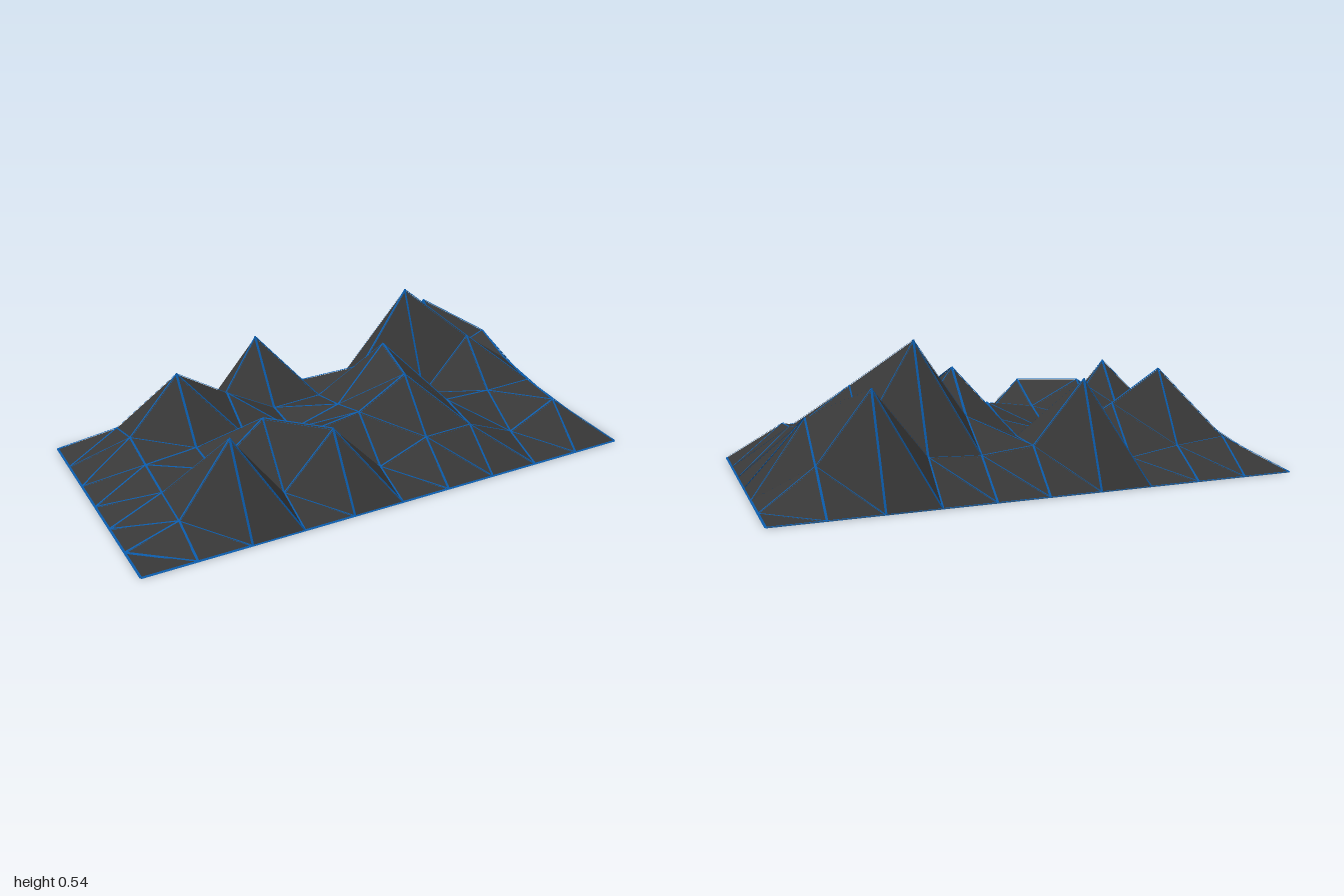
import * as THREE from 'three';

const COLS = 10, ROWS = 6;
const HALF_X = 0.996, HALF_Z = 0.498, LINE = 0.004, LIFT = 0.003;

// Peak heights inside the flat rim, back row first, each from -x to +x
const HEIGHTS = [
  [0.12, 0.10, 0.07, 0.385, 0.15, 0.13, 0.14, 0.40, 0.145],
  [0.155, 0.375, 0.25, 0.14, 0.15, 0.24, 0.535, 0.20, 0.28],
  [0.12, 0.14, 0.14, 0.12, 0.18, 0.40, 0.14, 0.355, 0.215],
  [0.09, 0.13, 0.29, 0.19, 0.22, 0.335, 0.18, 0.175, 0.18],
  [0.065, 0.335, 0.065, 0.275, 0.065, 0.14, 0.145, 0.065, 0.16],
];

function point(i, j) {
  const y = HEIGHTS[j - 1]?.[i - 1] ?? 0;
  return new THREE.Vector3((i / COLS * 2 - 1) * HALF_X, y, (j / ROWS * 2 - 1) * HALF_Z);
}

function meshFrom(points, color, name) {
  const geometry = new THREE.BufferGeometry().setFromPoints(points);
  geometry.computeVertexNormals();
  const material = new THREE.MeshStandardMaterial({ color, flatShading: true, side: THREE.DoubleSide });
  const mesh = new THREE.Mesh(geometry, material);
  mesh.name = name;
  return mesh;
}

export function createModel() {
  const group = new THREE.Group();
  group.name = 'mountainTerrain';
  const faces = [], strips = [];

  // Flat ribbons just above and below an edge, their width kept horizontal
  function addStrip(a, b) {
    const side = new THREE.Vector3(b.z - a.z, 0, a.x - b.x).setLength(LINE);
    for (const lift of [LIFT, -LIFT]) {
      const [a1, a2, b1, b2] = [[a, 1], [a, -1], [b, 1], [b, -1]].map(([p, s]) => {
        const corner = p.clone().addScaledVector(side, s);
        corner.y = Math.max(0, corner.y + lift);
        return corner;
      });
      strips.push(a1, a2, b1, b1, a2, b2);
    }
  }

  for (let j = 0; j <= ROWS; j++) {
    for (let i = 0; i <= COLS; i++) {
      const p = point(i, j);
      if (i < COLS) addStrip(p, point(i + 1, j));
      if (j < ROWS) addStrip(p, point(i, j + 1));
      if (i < COLS && j < ROWS) {
        // Each cell is split from its back -x corner to its front +x corner
        const q = point(i + 1, j + 1);
        faces.push(p, q, point(i + 1, j), p, point(i, j + 1), q);
        addStrip(p, q);
      }
    }
  }

  group.add(meshFrom(faces, 0x383838, 'terrainSurface'));
  group.add(meshFrom(strips, 0x0a5cad, 'gridLines'));
  return group;
}
